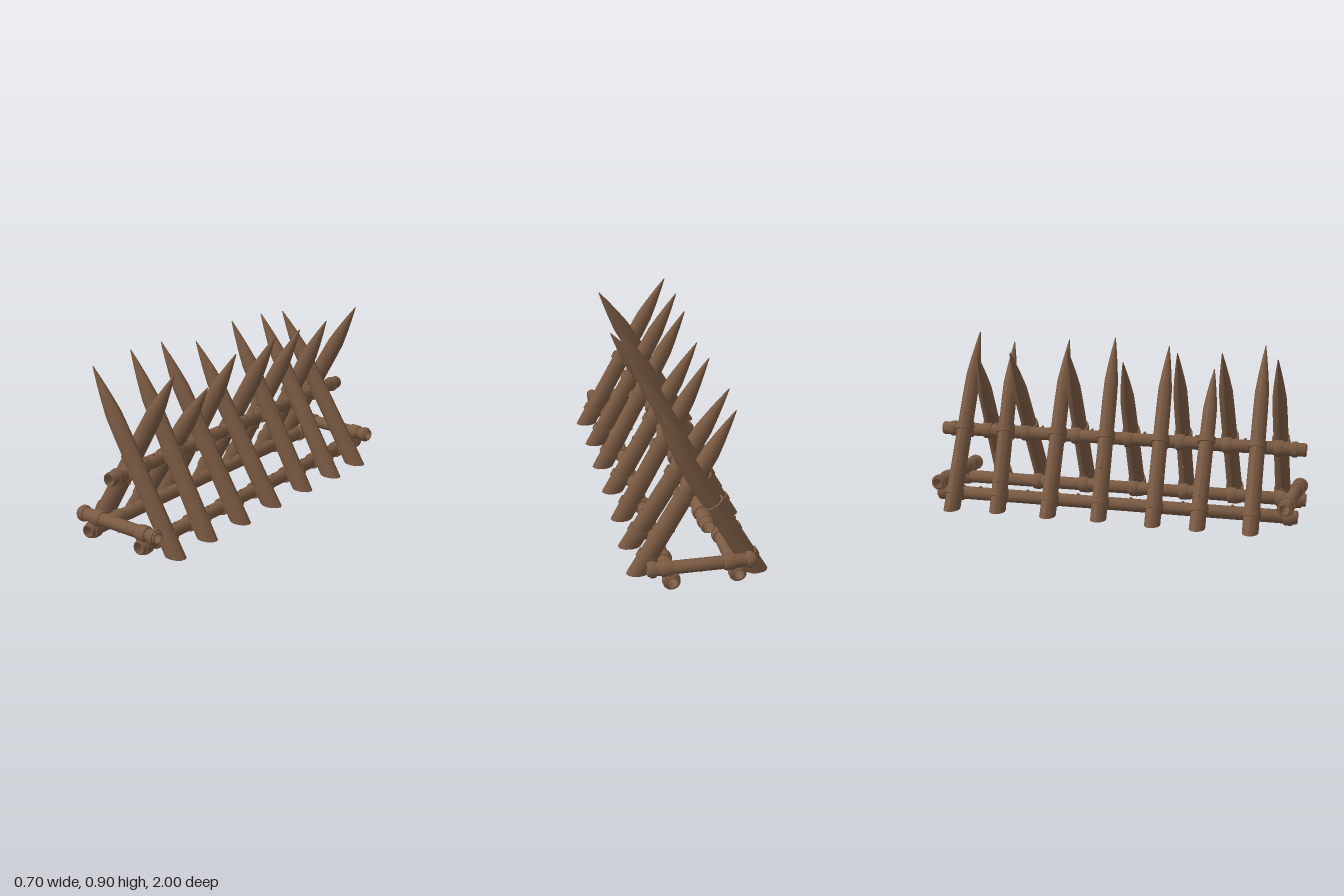
import * as THREE from 'three';
import { toCreasedNormals } from 'three/addons/utils/BufferGeometryUtils.js';

const wood = new THREE.MeshStandardMaterial({ color: 0x7b5b43 });
wood.name = 'brown wood';

const UP = new THREE.Vector3(0, 1, 0);
const V = (x, y, z) => new THREE.Vector3(x, y, z);

function add(parent, name, geometry) {
  const mesh = new THREE.Mesh(geometry, wood);
  mesh.name = name;
  parent.add(mesh);
  return mesh;
}

// Places a mesh with its local y along a direction
function aim(mesh, position, direction) {
  mesh.position.copy(position);
  mesh.quaternion.setFromUnitVectors(UP, direction.clone().normalize());
  return mesh;
}

// Lathe from [radius, height] pairs
function lathe(pairs, sides) {
  const points = pairs.map(([r, y]) => new THREE.Vector2(r, y));
  return toCreasedNormals(new THREE.LatheGeometry(points, sides), 0.7);
}

// Lashing: a thick strap with rounded edges
function bandGeometry(inner, outer, width) {
  const h = width / 2;
  return lathe([[inner, -h], [outer - 0.003, -h], [outer, -h * 0.55], [outer, h * 0.55],
    [outer - 0.003, h], [inner, h], [inner, -h]], 14);
}

// Hollow pole running between two points
function pole(parent, name, from, to, outer, inner) {
  const dir = to.clone().sub(from);
  const h = dir.length() / 2;
  const geometry = lathe([[inner, -h], [outer - 0.003, -h], [outer, -h + 0.006], [outer * 0.97, 0],
    [outer, h - 0.006], [outer - 0.003, h], [inner, h], [inner, -h]], 12);
  return aim(add(parent, name, geometry), from.clone().lerp(to, 0.5), dir);
}

// Sharpened stake, cut level with the ground
const ROWS = [[0, 1.06], [0.25, 1.02], [0.5, 0.99], [0.64, 0.97], [0.75, 0.92], [0.84, 0.66], [0.92, 0.38], [1, 0.05]];
const STAKE_X = 0.049, STAKE_Z = 0.04;

function stakeGeometry(base, tip) {
  const axis = tip.clone().sub(base);
  const across = V(axis.y, -axis.x, 0).normalize();
  const last = ROWS.length - 1;
  const geometry = new THREE.CylinderGeometry(1, 1, 1, 12, last);
  const pos = geometry.attributes.position;
  for (let i = 0; i < pos.count; i++) {
    const row = Math.round((pos.getY(i) + 0.5) * last);
    const [t, r] = ROWS[row];
    const p = base.clone().addScaledVector(axis, t)
      .addScaledVector(across, pos.getX(i) * r * STAKE_X);
    p.z += pos.getZ(i) * r * STAKE_Z;
    if (row === 0) p.addScaledVector(axis, (0.004 - p.y) / axis.y);
    pos.setXYZ(i, p.x, p.y, p.z);
  }
  return toCreasedNormals(geometry, 0.6);
}

// [outer foot x, foot z, tip x, tip height, tip z]
const STAKES = [
  [0.34, 0.85, -0.20, 0.88, 0.87], [0.33, 0.59, -0.205, 0.90, 0.59],
  [0.335, 0.32, -0.20, 0.89, 0.36], [0.33, 0.04, -0.20, 0.83, 0.075],
  [0.335, -0.245, -0.19, 0.88, -0.225], [0.345, -0.51, -0.215, 0.855, -0.53],
  [0.35, -0.755, -0.20, 0.835, -0.72],
  [-0.35, 0.765, 0.205, 0.88, 0.745], [-0.345, 0.49, 0.19, 0.745, 0.475],
  [-0.345, 0.255, 0.18, 0.86, 0.23], [-0.325, -0.04, 0.205, 0.89, -0.075],
  [-0.335, -0.315, 0.185, 0.87, -0.33], [-0.32, -0.60, 0.155, 0.85, -0.635],
  [-0.345, -0.85, 0.205, 0.89, -0.855],
];

const LOW_X = 0.165, LOW_Y = 0.065, TOP_Y = 0.38;

export function createModel() {
  const model = new THREE.Group();
  model.name = 'spikedBarricade';

  // Long poles
  pole(model, 'ridgePole', V(0, TOP_Y, -1), V(0, TOP_Y, 1), 0.036, 0.029);
  for (const s of [-1, 1]) {
    pole(model, s > 0 ? 'leftLowerPole' : 'rightLowerPole',
      V(s * LOW_X, LOW_Y, -0.97), V(s * LOW_X, LOW_Y, 0.985), 0.036, 0.027);
  }

  const stakeBand = bandGeometry(0.9, 1.2, 0.036);
  const poleBand = bandGeometry(0.031, 0.045, 0.045);
  const endBand = bandGeometry(0.031, 0.042, 0.03);
  const crossBand = bandGeometry(0.029, 0.042, 0.055);
  const peg = new THREE.SphereGeometry(0.008, 8, 6);
  const ALONG = V(0, 0, 1);

  // Stakes with their lashings
  STAKES.forEach(([foot, footZ, tipX, tipY, tipZ], i) => {
    const side = Math.sign(foot);
    const group = new THREE.Group();
    group.name = side > 0 ? 'leftStake' : 'rightStake';
    model.add(group);
    const base = V(foot - side * 0.056, 0, footZ);
    const tip = V(tipX, tipY, tipZ);
    const axis = tip.clone().sub(base);
    add(group, 'sharpenedStake', stakeGeometry(base, tip));
    const at = (y) => base.clone().addScaledVector(axis, y / axis.y);

    for (const [y, px, py] of [[0.088, side * LOW_X, LOW_Y], [0.405, 0, TOP_Y]]) {
      const strap = aim(add(group, 'stakeLashing', stakeBand), at(y), axis);
      strap.scale.set(STAKE_X, 1, STAKE_Z);
      aim(add(group, 'poleLashing', poleBand), V(px, py, at(y).z), ALONG);
    }

    // Small pegs on the faces of the stake
    const pegPoint = at(0.14 + (i % 4) * 0.05);
    const outward = V(axis.y, -axis.x, 0).normalize().multiplyScalar((i % 2 ? 1 : -1) * STAKE_X);
    add(group, 'peg', peg).position.copy(pegPoint.add(outward));
  });

  // End straps and pegs on the long poles
  for (const z of [-0.94, 0.94]) {
    aim(add(model, 'ridgeEndLashing', endBand), V(0, TOP_Y, z), ALONG);
    for (const s of [-1, 1]) aim(add(model, 'lowerEndLashing', poleBand), V(s * LOW_X, LOW_Y, z), ALONG);
  }
  for (const z of [-0.7, -0.43, -0.15, 0.14, 0.42, 0.68]) {
    add(model, 'ridgePeg', peg).position.set(0.008, TOP_Y + 0.036, z);
    add(model, 'lowerPeg', peg).position.set(LOW_X, LOW_Y + 0.036, z + 0.03);
    add(model, 'lowerPeg', peg).position.set(-LOW_X, LOW_Y + 0.036, z - 0.03);
  }

  // Cross bars at both ends, slightly crooked
  const bars = [
    ['frontCrossBar', V(-0.26, 0.128, 0.93), V(0.255, 0.126, 0.945)],
    ['backCrossBar', V(-0.25, 0.13, -0.945), V(0.28, 0.125, -0.92)],
  ];
  for (const [name, from, to] of bars) {
    pole(model, name, from, to, 0.034, 0.025);
    const dir = to.clone().sub(from);
    for (const t of [0.24, 0.82]) aim(add(model, 'crossLashing', crossBand), from.clone().lerp(to, t), dir);
    for (const t of [0.05, 0.95]) aim(add(model, 'crossEndLashing', endBand), from.clone().lerp(to, t), dir);
    const middle = from.clone().lerp(to, 0.5);
    add(model, 'crossPeg', peg).position.set(middle.x, middle.y - 0.034, middle.z);
  }
  return model;
}
